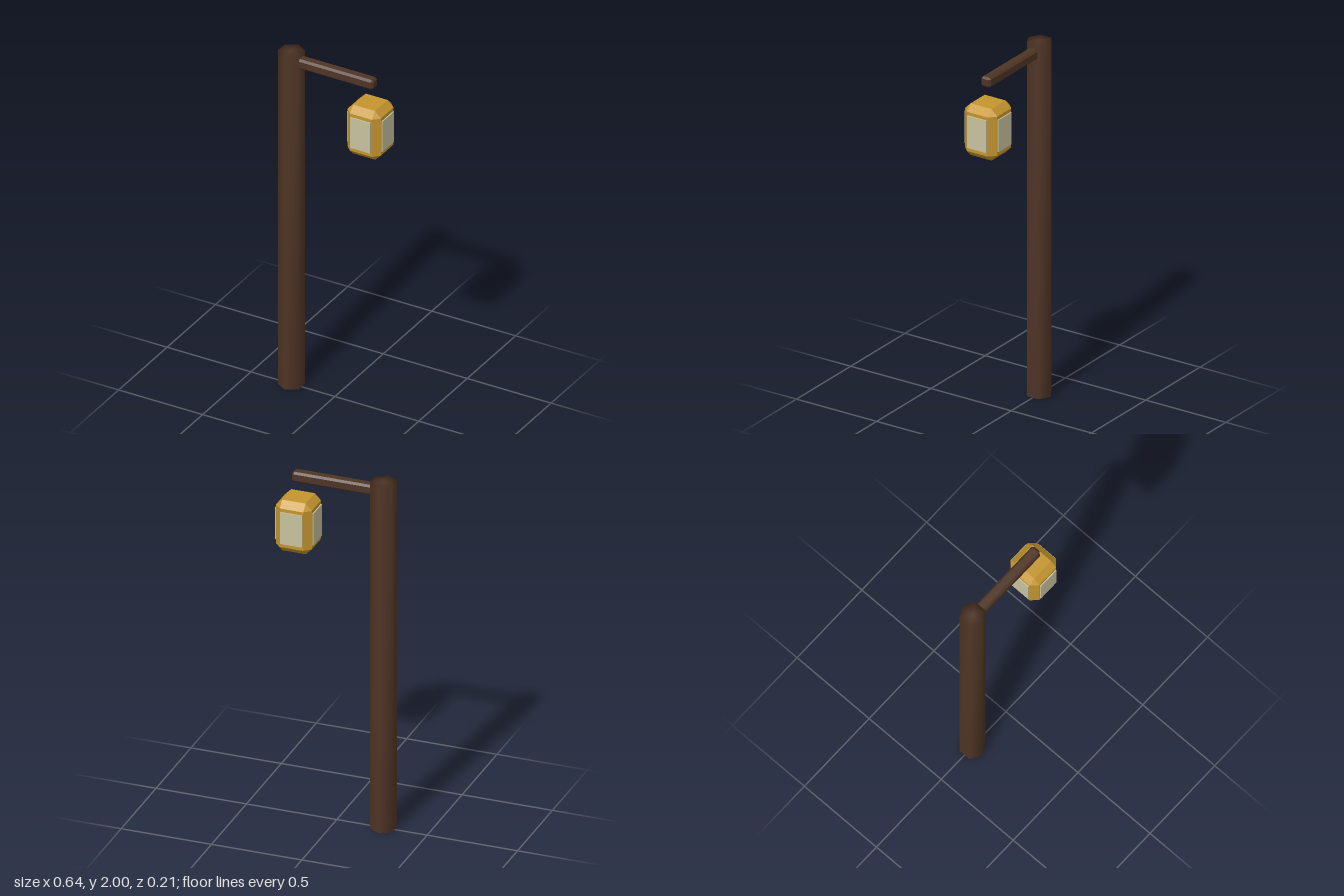
import * as THREE from 'three';
import { mergeVertices } from 'three/addons/utils/BufferGeometryUtils.js';
import { ConvexGeometry } from 'three/addons/geometries/ConvexGeometry.js';

// Box with every edge cut by a flat chamfer c
function chamferBox(w, h, d, c) {
  const points = [];
  for (const x of [-w / 2, w / 2]) for (const y of [-h / 2, h / 2]) for (const z of [-d / 2, d / 2]) {
    const cx = Math.sign(x) * c, cy = Math.sign(y) * c, cz = Math.sign(z) * c;
    points.push(
      new THREE.Vector3(x, y - cy, z - cz),
      new THREE.Vector3(x - cx, y, z - cz),
      new THREE.Vector3(x - cx, y - cy, z)
    );
  }
  return new ConvexGeometry(points);
}

export function createModel() {
  const wood = new THREE.MeshStandardMaterial({ name: 'dark wood', color: 0x4f3525 });
  const gold = new THREE.MeshStandardMaterial({ name: 'gold', color: 0xc4952e });
  const glass = new THREE.MeshStandardMaterial({ name: 'pale glass', color: 0xc8c29d });

  const model = new THREE.Group();
  model.name = 'lampPost';
  const add = (parent, name, geometry, material, x, y, z) => {
    const mesh = new THREE.Mesh(geometry, material);
    mesh.name = name;
    mesh.position.set(x, y, z);
    parent.add(mesh);
    return mesh;
  };

  // Six-sided post, smooth shaded across its caps
  let postShape = new THREE.CylinderGeometry(0.07, 0.07, 2, 6);
  postShape.deleteAttribute('uv');
  postShape.deleteAttribute('normal');
  postShape = mergeVertices(postShape);
  postShape.computeVertexNormals();
  add(model, 'post', postShape, wood, -0.259, 1, 0);

  // Arm reaching out from the post
  add(model, 'arm', chamferBox(0.5, 0.058, 0.058, 0.011), wood, -0.01, 1.946, 0);

  // Lantern with a glass pane on each of its four sides
  const lantern = new THREE.Group();
  lantern.name = 'lantern';
  lantern.position.set(0.212, 1.681, 0);
  model.add(lantern);
  add(lantern, 'lanternBody', chamferBox(0.2, 0.292, 0.2, 0.035), gold, 0, 0, 0);
  const paneShape = new THREE.BoxGeometry(0.12, 0.182, 0.009);
  ['front', 'left', 'back', 'right'].forEach((side, i) => {
    const a = i * Math.PI / 2;
    const pane = add(lantern, side + 'Pane', paneShape, glass, Math.sin(a) * 0.102, 0.001, Math.cos(a) * 0.102);
    pane.rotation.y = a;
  });

  return model;
}
